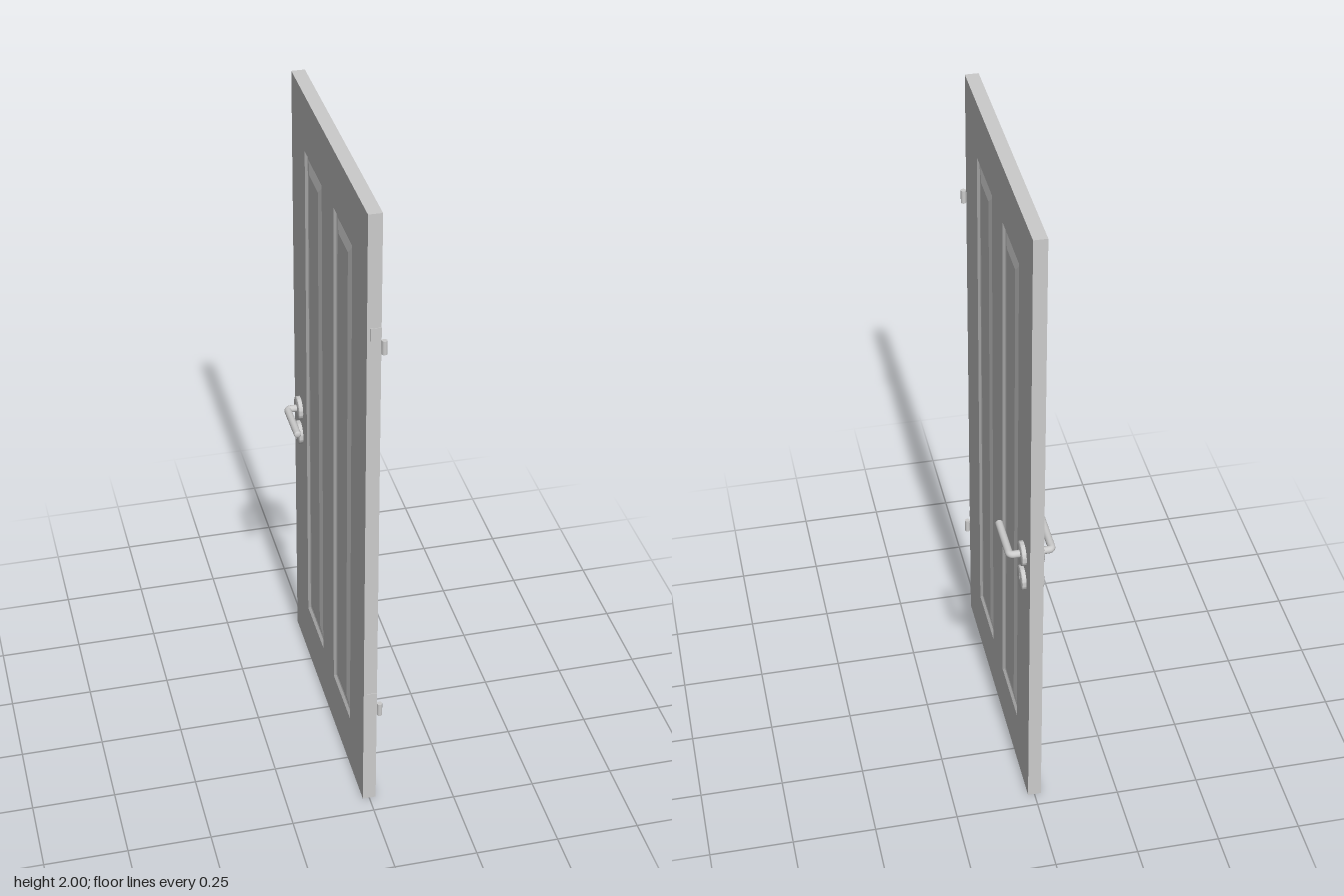
import * as THREE from 'three';
import { toCreasedNormals } from 'three/addons/utils/BufferGeometryUtils.js';

const material = new THREE.MeshStandardMaterial({ color: 0xcccccc });
const HALF = 0.02;                      // half the leaf thickness
const Z_HINGE = 0.443, Z_LOCK = -0.455; // vertical edges of the leaf
const HANDLE_Z = -0.375;
const PANEL = { w: 0.212, y0: 0.18, y1: 1.825, centres: [0.171, -0.183] };

function add(parent, name, geometry, x = 0, y = 0, z = 0) {
  const mesh = new THREE.Mesh(geometry, material);
  mesh.name = name;
  mesh.position.set(x, y, z);
  parent.add(mesh);
  return mesh;
}

// Door leaf: slab with an opening for each panel
function leafGeometry() {
  const rect = (path, a, b, c, d) =>
    path.moveTo(a, c).lineTo(b, c).lineTo(b, d).lineTo(a, d).closePath();
  const shape = new THREE.Shape();
  rect(shape, -Z_HINGE, -Z_LOCK, 0, 2);
  for (const c of PANEL.centres) {
    const hole = new THREE.Path();
    rect(hole, -c - PANEL.w / 2, -c + PANEL.w / 2, PANEL.y0, PANEL.y1);
    shape.holes.push(hole);
  }
  const g = new THREE.ExtrudeGeometry(shape, { depth: 2 * HALF, bevelEnabled: false });
  return g.translate(0, 0, -HALF).rotateY(Math.PI / 2);
}

// Moulded panel: rectangular rings stepping down into a groove and up to the raised field
function panelGeometry(centre, side) {
  const steps = [[0, 0], [0.012, 0.006], [0.02, 0.007], [0.052, 0.001]];
  const rings = steps.map(([inset, depth]) => {
    const h = PANEL.w / 2 - inset, x = side * (HALF - depth);
    const lo = PANEL.y0 + inset, hi = PANEL.y1 - inset;
    return [[x, lo, centre + h], [x, lo, centre - h], [x, hi, centre - h], [x, hi, centre + h]];
  });
  const pos = [];
  const quad = (a, b, c, d) => {
    const corners = side > 0 ? [a, b, c, a, c, d] : [a, c, b, a, d, c];
    pos.push(...corners.flat());
  };
  for (let r = 0; r < rings.length - 1; r++) {
    for (let i = 0; i < 4; i++) {
      const j = (i + 1) % 4;
      quad(rings[r][i], rings[r][j], rings[r + 1][j], rings[r + 1][i]);
    }
  }
  quad(...rings[rings.length - 1]);
  const g = new THREE.BufferGeometry();
  g.setAttribute('position', new THREE.Float32BufferAttribute(pos, 3));
  g.computeVertexNormals();
  return g;
}

// Turned part whose axis points out of the door face
function turned(points, side) {
  const g = new THREE.LatheGeometry(points.map(p => new THREE.Vector2(...p)), 40);
  return toCreasedNormals(g.rotateZ(-side * Math.PI / 2), 0.5);
}

// Lever: neck out of the rosette, tight bend, straight grip
function leverGeometry(side) {
  const v = (x, z) => new THREE.Vector3(side * x, 0, z);
  const path = new THREE.CurvePath();
  path.add(new THREE.LineCurve3(v(0.025, 0), v(0.05, 0)));
  path.add(new THREE.QuadraticBezierCurve3(v(0.05, 0), v(0.0625, 0), v(0.0625, 0.0125)));
  path.add(new THREE.LineCurve3(v(0.0625, 0.0125), v(0.0625, 0.146)));
  return new THREE.TubeGeometry(path, 64, 0.0112, 20);
}

function handleSet(side) {
  const set = new THREE.Group();
  set.name = side > 0 ? 'leftHandleSet' : 'rightHandleSet';
  const disc = [[0.037, 0], [0.037, 0.0105], [0.0355, 0.0125], [0.033, 0.0135], [0, 0.0135]];
  add(set, 'handleRosette', turned(disc, side), side * HALF, 0.9, HANDLE_Z);
  add(set, 'lever', leverGeometry(side), 0, 0.9, HANDLE_Z);
  const tip = add(set, 'leverTip', new THREE.SphereGeometry(0.0112, 20, 12),
    side * 0.0625, 0.9, HANDLE_Z + 0.146);
  tip.scale.z = 0.5;

  // Lock rosette with a keyed cylinder
  add(set, 'lockRosette', turned(disc, side), side * HALF, 0.81, HANDLE_Z);
  const face = side * (HALF + 0.0135);
  add(set, 'lockCylinder', turned([[0.01, 0], [0.01, 0.001], [0, 0.001]], side), face, 0.815, HANDLE_Z);
  add(set, 'lockBody', new THREE.BoxGeometry(0.002, 0.022, 0.009), face, 0.799, HANDLE_Z);
  return set;
}

function hinge(y) {
  const group = new THREE.Group();
  group.name = 'hinge';
  add(group, 'knuckle', new THREE.CylinderGeometry(0.008, 0.008, 0.042, 20), 0.028, y, 0.445);
  add(group, 'hingeTab', new THREE.BoxGeometry(0.014, 0.04, 0.003), 0.021, y, 0.443);
  add(group, 'hingeLeaf', new THREE.BoxGeometry(0.03, 0.082, 0.003), 0.005, y + 0.02, 0.4435);
  return group;
}

export function createModel() {
  const door = new THREE.Group();
  door.name = 'door';
  add(door, 'doorLeaf', leafGeometry());
  for (const side of [1, -1]) {
    for (const c of PANEL.centres) add(door, 'mouldedPanel', panelGeometry(c, side));
    door.add(handleSet(side));
  }
  for (const y of [0.347, 1.598]) door.add(hinge(y));
  return door;
}
